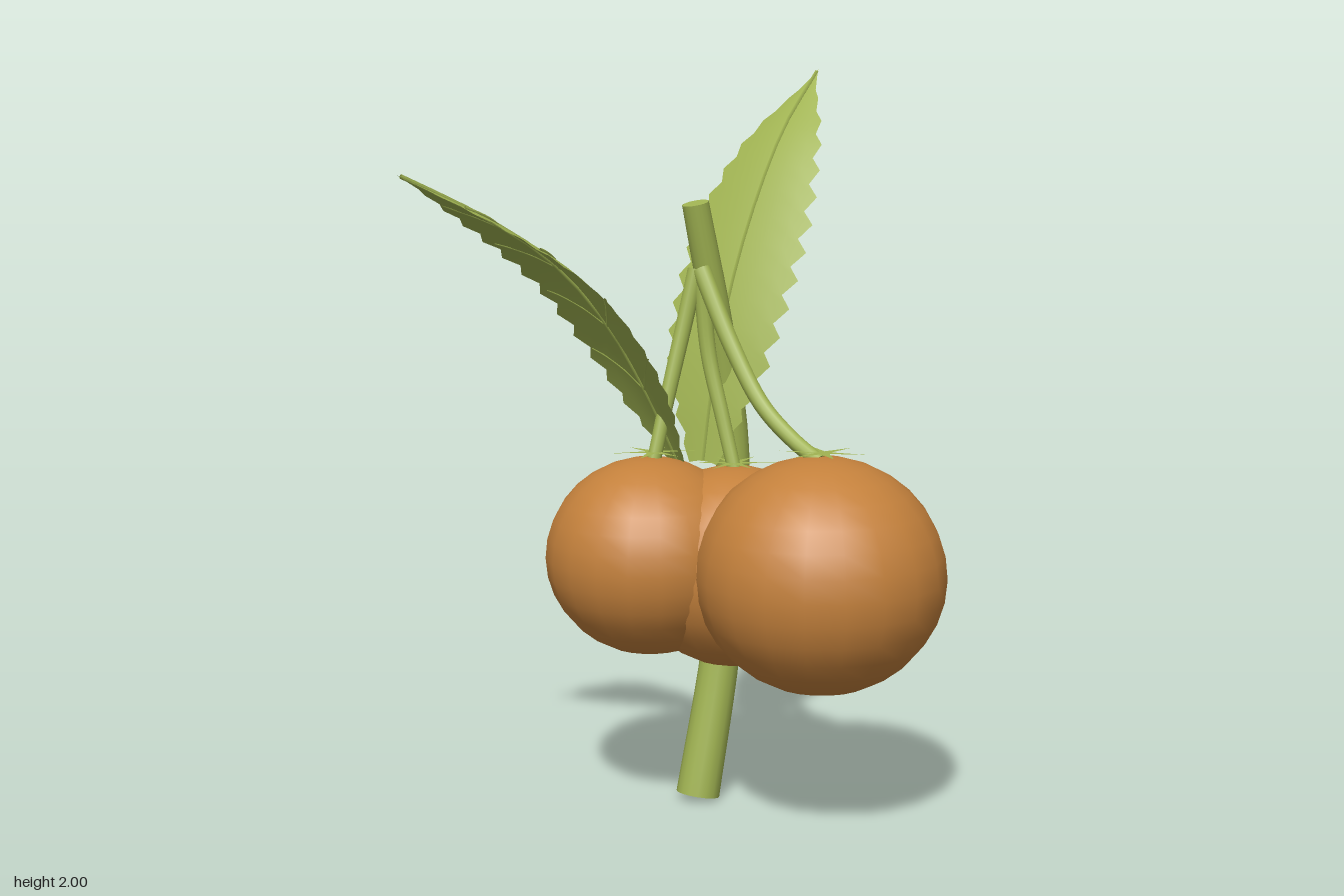
import * as THREE from 'three';

const V = (p) => new THREE.Vector3(...p);
const green = new THREE.MeshStandardMaterial({ color: 0xa0b352, side: THREE.DoubleSide });
green.name = 'leafGreen';
const orange = new THREE.MeshStandardMaterial({ color: 0xc4813c });
orange.name = 'fruitOrange';

function add(parent, name, geometry, material) {
  const mesh = new THREE.Mesh(geometry, material);
  mesh.name = name;
  parent.add(mesh);
  return mesh;
}

// Tapered, capped tube through points
function branch(parent, name, points, r0, r1, sides = 12) {
  const steps = 24;
  const curve = new THREE.CatmullRomCurve3(points.map(V));
  const geo = new THREE.TubeGeometry(curve, steps, 1, sides);
  const pos = geo.attributes.position;
  const v = new THREE.Vector3();
  for (let i = 0; i < pos.count; i++) {
    const t = Math.floor(i / (sides + 1)) / steps;
    const c = curve.getPointAt(t);
    v.fromBufferAttribute(pos, i).sub(c).multiplyScalar(THREE.MathUtils.lerp(r0, r1, t)).add(c);
    pos.setXYZ(i, v.x, v.y, v.z);
  }
  const group = new THREE.Group();
  group.name = name;
  add(group, name + 'Body', geo, green);
  for (const [t, r, sign] of [[0, r0, -1], [1, r1, 1]]) {
    const cap = add(group, name + 'Cap', new THREE.CircleGeometry(r, sides), green);
    const c = curve.getPointAt(t);
    cap.position.copy(c);
    cap.lookAt(c.clone().addScaledVector(curve.getTangentAt(t), sign));
  }
  parent.add(group);
}

// Serrated leaf: a plane bent along its midrib, with drooping toothed edges
function leaf(parent, name, points, widths, sideVeins) {
  const curve = new THREE.CatmullRomCurve3(points.map(V));
  const profile = new THREE.SplineCurve(widths.map((w, i) => new THREE.Vector2(i, w)));
  const dir = curve.getPoint(1).sub(curve.getPoint(0));
  const across = new THREE.Vector3(-dir.z, 0, dir.x).normalize();
  const at = (t, s, lift = 0) => {
    const w = Math.max(0, profile.getPoint(t).y);
    const p = curve.getPointAt(t).addScaledVector(across, s * w);
    p.y += lift - 0.2 * w * s * s;
    return p;
  };
  const teeth = 15, cols = 6;
  const geo = new THREE.PlaneGeometry(2, 1, cols, teeth * 2);
  const pos = geo.attributes.position;
  for (let i = 0; i < pos.count; i++) {
    const row = Math.floor(i / (cols + 1));
    let s = pos.getX(i), t = row / (teeth * 2);
    if (Math.abs(s) > 0.99) {
      if (row % 2) { s *= 1.06; t += 0.012; } else s *= 0.88;
    }
    const p = at(Math.min(t, 1), s);
    pos.setXYZ(i, p.x, p.y, p.z);
  }
  geo.computeVertexNormals();
  const group = new THREE.Group();
  group.name = name;
  add(group, name + 'Blade', geo, green);

  // Midrib and side veins
  const vein = (label, pts, r) => add(group, label,
    new THREE.TubeGeometry(new THREE.CatmullRomCurve3(pts), 12, r, 4), green);
  vein('midrib', [0, 0.2, 0.4, 0.6, 0.8, 0.99].map((t) => at(t, 0, 0.002)), 0.006);
  if (sideVeins) {
    for (const t of [0.2, 0.38, 0.56, 0.73]) {
      for (const s of [-1, 1]) {
        vein('sideVein', [0, 0.33, 0.66, 0.85].map((k) => at(t + 0.15 * k, s * k, 0.002)), 0.004);
      }
    }
  }
  parent.add(group);
}

// Six-pointed calyx star lying on a fruit
function calyx(parent, x, y, z, turn) {
  const shape = new THREE.Shape();
  for (let i = 0; i < 12; i++) {
    const r = i % 2 ? 0.024 : [0.11, 0.1, 0.115][(i / 2) % 3];
    const a = turn + i * Math.PI / 6;
    shape[i ? 'lineTo' : 'moveTo'](r * Math.cos(a), r * Math.sin(a));
  }
  const geo = new THREE.ShapeGeometry(shape).rotateX(-Math.PI / 2);
  add(parent, 'calyx', geo, green).position.set(x, y, z);
}

export function createModel() {
  const model = new THREE.Group();
  model.name = 'fruitBranch';

  // Three overlapping round fruits: centre, radii
  const fruits = [
    ['frontFruit', [0.135, 0.705, 0.2], [0.325, 0.31, 0.33]],
    ['backFruit', [-0.05, 0.715, -0.25], [0.28, 0.265, 0.28]],
    ['middleFruit', [0.115, 0.685, -0.1], [0.28, 0.27, 0.28]],
  ];
  for (const [name, centre, radii] of fruits) {
    const fruit = add(model, name, new THREE.SphereGeometry(1, 20, 16), orange);
    fruit.position.set(...centre);
    fruit.scale.set(...radii);
  }
  calyx(model, 0.14, 1.025, 0.2, 0);
  calyx(model, -0.035, 0.993, -0.25, 0.5);
  calyx(model, 0.12, 0.963, -0.105, 0.25);

  // Main stem
  branch(model, 'stem', [[0.108, 0.012, -0.235], [0.195, 0.4, -0.235], [0.237, 0.72, -0.235],
    [0.24, 1.0, -0.235], [0.19, 1.3, -0.235], [0.11, 1.645, -0.24]], 0.06, 0.036, 16);

  // Fruit stalks
  branch(model, 'frontStalk', [[0.112, 1.47, -0.22], [0.115, 1.28, -0.11], [0.12, 1.13, 0.0],
    [0.13, 1.05, 0.1], [0.138, 1.0, 0.19]], 0.026, 0.02);
  branch(model, 'backStalk', [[0.108, 1.47, -0.235], [0.07, 1.32, -0.245], [0.02, 1.15, -0.25],
    [-0.035, 0.97, -0.25]], 0.024, 0.019);
  branch(model, 'middleStalk', [[0.112, 1.47, -0.22], [0.118, 1.25, -0.2], [0.122, 1.08, -0.15],
    [0.122, 0.945, -0.105]], 0.024, 0.019);

  // Leaves
  leaf(model, 'rightLeaf', [[0.05, 0.95, -0.245], [-0.02, 1.1, -0.262], [-0.12, 1.28, -0.285],
    [-0.27, 1.47, -0.318], [-0.47, 1.61, -0.36], [-0.72, 1.735, -0.415]],
  [0.04, 0.14, 0.185, 0.175, 0.11, 0], true);
  leaf(model, 'leftLeaf', [[0.13, 0.95, -0.235], [0.165, 1.12, -0.242], [0.225, 1.32, -0.255],
    [0.34, 1.56, -0.28], [0.5, 1.8, -0.318], [0.72, 2.0, -0.372]],
  [0.05, 0.145, 0.18, 0.175, 0.115, 0], false);

  return model;
}
